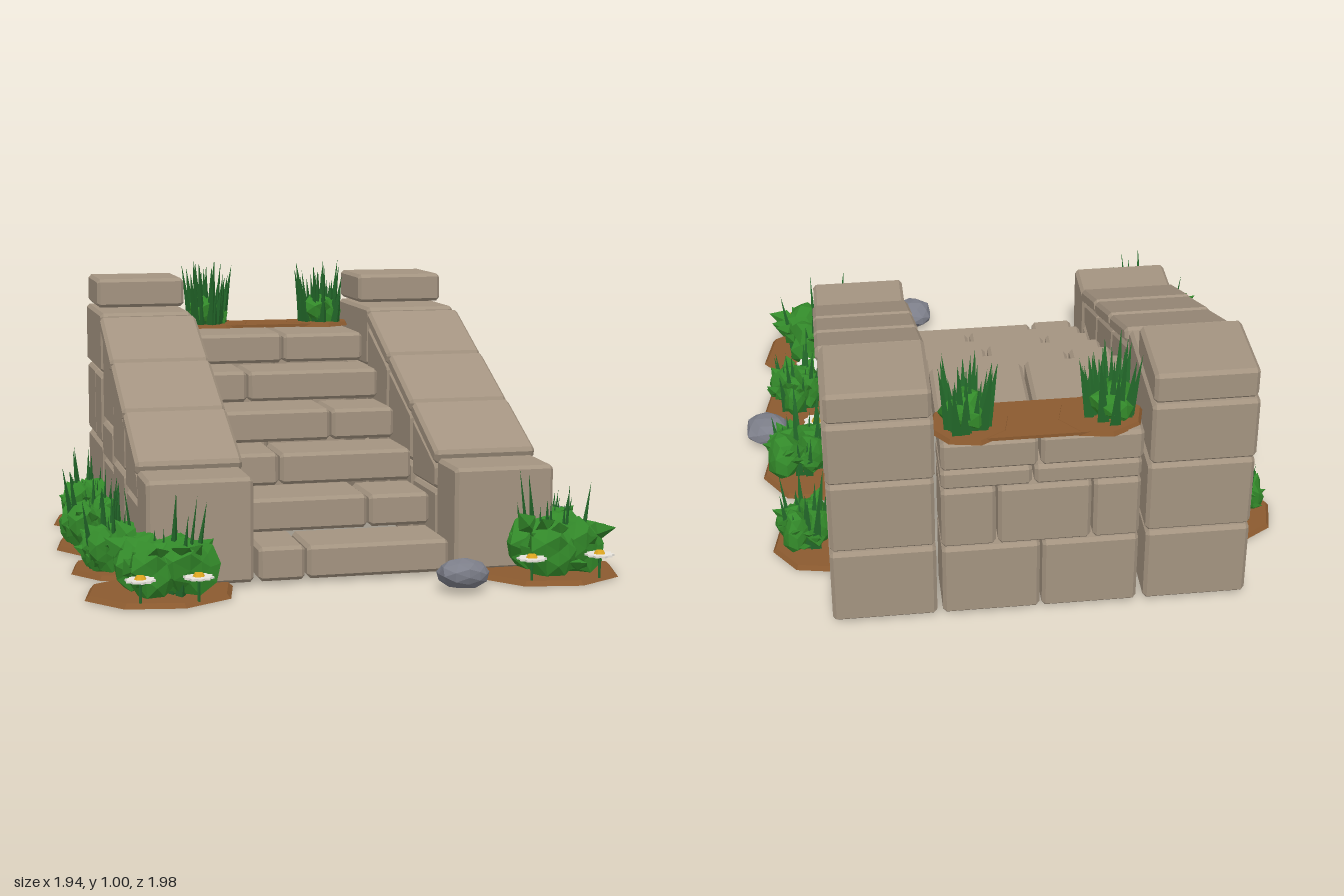
import * as THREE from 'three';
import { mergeGeometries } from 'three/addons/utils/BufferGeometryUtils.js';

const flat = (name, color) => {
  const m = new THREE.MeshStandardMaterial({ color });
  m.name = name;
  m.flatShading = true;
  return m;
};

export function createModel() {
  const model = new THREE.Group();
  model.name = 'stoneStaircase';
  const mats = {
    stone: flat('stone', 0xa39380), soil: flat('soil', 0x8b5a2f),
    leaf: flat('leafGreen', 0x338a2a), grass: flat('grassGreen', 0x23692a),
    rock: flat('rockGrey', 0x7d7f8a), petal: flat('petalWhite', 0xece8e0),
    pollen: flat('pollenYellow', 0xe0a820),
  };
  let seed = 7;
  const rnd = (a = 0, b = 1) => {
    seed = (seed * 16807) % 2147483647;
    return a + (b - a) * seed / 2147483647;
  };
  const add = (parent, name, geo, mat) => {
    const mesh = new THREE.Mesh(geo, mat);
    mesh.name = name;
    parent.add(mesh);
    return mesh;
  };
  const group = (name) => {
    const g = new THREE.Group();
    g.name = name;
    model.add(g);
    return g;
  };

  // Chamfered stone: a (z, y) profile with cut corners, run from x0 to x1
  const stone = (parent, name, profile, x0, x1) => {
    const b = 0.012, pts = [];
    const p = profile.map(([z, y]) => new THREE.Vector2(z, y));
    p.forEach((c, i) => {
      for (const n of [p.at(i - 1), p[(i + 1) % p.length]]) {
        pts.push(c.clone().add(n.clone().sub(c).setLength(b)));
      }
    });
    const geo = new THREE.ExtrudeGeometry(new THREE.Shape(pts), {
      depth: x1 - x0 - 2 * b, bevelEnabled: true, bevelThickness: b, bevelSize: b,
      bevelOffset: -b, bevelSegments: 1,
    });
    geo.rotateY(-Math.PI / 2).translate(x1 - b, 0, 0);
    return add(parent, name, geo, mats.stone);
  };
  const rect = (z0, z1, y0, y1) => [[z0, y0], [z1, y0], [z1, y1], [z0, y1]];

  // Six steps, each of two stones with a shifting joint
  const steps = group('steps');
  [-0.2, 0.08, -0.19, 0.06, -0.21, -0.02].forEach((joint, i) => {
    const top = i === 5, z = 0.68 - i * 0.237, y = 0.01 + i * 0.12;
    const back = top ? -0.97 : z - 0.27;
    const y1 = y + (top ? 0.115 : 0.118);
    stone(steps, 'stepStone', rect(back, z, y, y1), -0.365, joint - 0.005);
    stone(steps, 'stepStone', rect(back, z - 0.006, y, y1 - 0.004), joint + 0.005, 0.305);
  });

  // Back wall in staggered courses
  const backWall = group('backWall');
  [[0.01, 0.29, [-0.365, -0.03, 0.31]], [0.295, 0.53, [-0.365, -0.2, 0.12, 0.31]],
    [0.535, 0.61, [-0.365, 0.0, 0.31]]].forEach(([y0, y1, xs]) => {
    for (let i = 1; i < xs.length; i++) {
      stone(backWall, 'backStone', rect(-0.97, -0.76, y0, y1), xs[i - 1] + 0.004, xs[i] - 0.004);
    }
  });

  // Side walls, mirrored about the middle of the stairs
  const wallStones = [
    rect(0.455, 0.68, 0.01, 0.37),
    rect(0.145, 0.445, 0.01, 0.25),
    [[0.445, 0.257], [0.145, 0.257], [0.145, 0.475], [0.445, 0.345]],
    rect(-0.18, 0.135, 0.01, 0.3),
    [[0.135, 0.307], [-0.18, 0.307], [-0.18, 0.615], [0.135, 0.48]],
    rect(-0.495, -0.19, 0.01, 0.1),
    rect(-0.495, -0.19, 0.107, 0.26),
    rect(-0.495, -0.19, 0.267, 0.405),
    [[-0.19, 0.412], [-0.495, 0.412], [-0.495, 0.75], [-0.19, 0.62]],
    rect(-0.97, -0.505, 0.01, 0.3),
    rect(-0.705, -0.505, 0.307, 0.58),
    rect(-0.97, -0.715, 0.307, 0.58),
    rect(-0.975, -0.5, 0.587, 0.82),
  ];
  for (const side of [-1, 1]) {
    const wall = group(side > 0 ? 'leftWall' : 'rightWall');
    const put = (name, profile, inner, outer) => {
      const a = -0.03 + side * inner, b = -0.03 + side * outer;
      stone(wall, name, profile, Math.min(a, b), Math.max(a, b));
    };
    wallStones.forEach((p) => put('wallStone', p, 0.352 + rnd(0, 0.006), 0.708 + rnd(0, 0.008)));
    for (let i = 0; i < 3; i++) {
      const dz = -0.32 * i, dy = 0.139 * i;
      put('slopingCap', [[0.47, 0.395], [0.16, 0.535], [0.14, 0.485], [0.45, 0.345]]
        .map(([z, y]) => [z + dz, y + dy]), 0.347, 0.72);
    }
    put('pillarCap', rect(-0.975, -0.665, 0.828, 0.94), 0.36, 0.705);
  }

  // Soil beds: thin octagons
  const soilBed = (x, y, z, rx, rz, turn = 0.2) => {
    const geo = new THREE.CylinderGeometry(0.94, 1, 0.016, 8);
    geo.rotateY(turn).scale(rx, 1, rz).translate(x, y + 0.008, z);
    add(model, 'soilBed', geo, mats.soil);
  };
  soilBed(-0.23, 0.722, -0.87, 0.15, 0.12);
  soilBed(0.2, 0.722, -0.87, 0.14, 0.12);
  add(model, 'soilStrip', new THREE.BoxGeometry(0.44, 0.012, 0.2).translate(-0.02, 0.73, -0.87), mats.soil);

  // Plants: a crumpled core, pointed leaves and grass blades
  const up = new THREE.Vector3(0, 1, 0);
  const aim = (geo, dir, pos) => {
    geo.applyQuaternion(new THREE.Quaternion().setFromUnitVectors(up, dir.normalize()));
    return geo.translate(pos.x, pos.y, pos.z);
  };
  const crumple = (geo, amount, phase) => {
    const p = geo.attributes.position, v = new THREE.Vector3();
    for (let i = 0; i < p.count; i++) {
      v.fromBufferAttribute(p, i);
      const k = Math.sin(Math.round(v.x * 50) * 1.3 + Math.round(v.y * 50) * 2.7 + Math.round(v.z * 50) * 4.1 + phase);
      v.multiplyScalar(1 + amount * k);
      p.setXYZ(i, v.x, v.y, v.z);
    }
    return geo;
  };
  const blades = (parent, x, y, z, r, h, count) => {
    const parts = [];
    for (let i = 0; i < count; i++) {
      const a = rnd(0, 6.28), d = Math.sqrt(rnd()) * r * 0.6, len = h * rnd(0.55, 1.02);
      const cone = new THREE.ConeGeometry(rnd(0.014, 0.024), len, 3, 1).translate(0, len / 2, 0);
      const dir = new THREE.Vector3(Math.cos(a) * 0.3 * d / r, 1, Math.sin(a) * 0.3 * d / r);
      parts.push(aim(cone, dir, new THREE.Vector3(x + Math.cos(a) * d, y, z + Math.sin(a) * d)));
    }
    add(parent, 'grassBlades', mergeGeometries(parts), mats.grass);
  };
  const bush = (x, z, r, h) => {
    const plant = group('bush');
    const parts = [];
    for (let i = 0; i < 4; i++) {
      const a = i * 1.57 + rnd(), s = r * rnd(0.4, 0.55);
      const core = crumple(new THREE.IcosahedronGeometry(1, 1), 0.18, i + x * 9).scale(s, h * 0.34, s);
      parts.push(core.translate(x + Math.cos(a) * r * 0.45, h * 0.38, z + Math.sin(a) * r * 0.45));
    }
    for (let i = 0; i < 16; i++) {
      const a = i * 2.4, len = r * rnd(0.5, 0.7);
      const leaf = new THREE.OctahedronGeometry(1, 0).scale(r * 0.2, len * 0.5, r * 0.1).translate(0, len * 0.4, 0);
      const dir = new THREE.Vector3(Math.cos(a), rnd(0.2, 1.3), Math.sin(a));
      parts.push(aim(leaf, dir, new THREE.Vector3(
        x + Math.cos(a) * r * 0.5, h * rnd(0.15, 0.6), z + Math.sin(a) * r * 0.5)));
    }
    add(plant, 'leaves', mergeGeometries(parts), mats.leaf);
    blades(plant, x, 0.01, z, r, h * 1.25, 16);
  };
  // [soil x, soil z, soil rx, soil rz, bush x, bush z, bush radius, bush height]
  [[-0.71, 0.72, 0.26, 0.225, -0.7, 0.73, 0.19, 0.28], [0.645, 0.72, 0.26, 0.225, 0.67, 0.73, 0.19, 0.28],
    [-0.77, 0.335, 0.2, 0.19, -0.82, 0.36, 0.125, 0.23], [0.71, 0.335, 0.2, 0.19, 0.77, 0.36, 0.125, 0.23],
    [-0.775, -0.07, 0.205, 0.21, -0.83, -0.06, 0.135, 0.24], [0.71, -0.07, 0.205, 0.21, 0.77, -0.06, 0.135, 0.24],
    [-0.755, -0.52, 0.19, 0.175, -0.8, -0.51, 0.115, 0.23], [0.695, -0.52, 0.19, 0.175, 0.76, -0.51, 0.115, 0.23],
  ].forEach(([sx, sz, rx, rz, bx, bz, r, h]) => {
    soilBed(sx, 0, sz, rx, rz);
    bush(bx, bz, r, h);
  });
  const topGrass = group('topGrass');
  for (const x of [-0.265, 0.22]) {
    blades(topGrass, x, 0.73, -0.865, 0.13, 0.27, 30);
    const tuft = crumple(new THREE.IcosahedronGeometry(1, 1), 0.2, x).scale(0.075, 0.07, 0.075);
    add(topGrass, 'tuft', tuft.translate(x, 0.78, -0.865), mats.leaf);
  }

  // Daisies
  [[-0.8, 0.9], [-0.61, 0.9], [0.53, 0.89], [0.775, 0.885], [-0.8, 0.105],
    [0.7, 0.11], [-0.765, 0.51], [0.72, 0.51]].forEach(([x, z]) => {
    const daisy = group('daisy');
    daisy.position.set(x, 0, z);
    const shape = new THREE.Shape(Array.from({ length: 20 }, (_, i) => {
      const r = i % 2 ? 0.051 : 0.042, a = i * Math.PI / 10;
      return new THREE.Vector2(Math.cos(a) * r, Math.sin(a) * r);
    }));
    const petals = new THREE.ExtrudeGeometry(shape, { depth: 0.007, bevelEnabled: false });
    add(daisy, 'petals', petals.rotateX(-Math.PI / 2).translate(0, 0.088, 0), mats.petal);
    add(daisy, 'flowerCentre', new THREE.CylinderGeometry(0.014, 0.021, 0.012, 8).translate(0, 0.1, 0), mats.pollen);
    add(daisy, 'stem', new THREE.CylinderGeometry(0.005, 0.005, 0.08, 5).translate(0, 0.05, 0), mats.grass);
  });

  // Loose rocks
  [[0.28, 0.91, 0.088, 0.083], [0.89, 0.13, 0.083, 0.09]].forEach(([x, z, rx, rz], i) => {
    const geo = crumple(new THREE.IcosahedronGeometry(1, 1), 0.07, i * 2).scale(rx, 0.05, rz);
    add(model, 'rock', geo.translate(x, 0.06, z), mats.rock);
  });
  return model;
}
